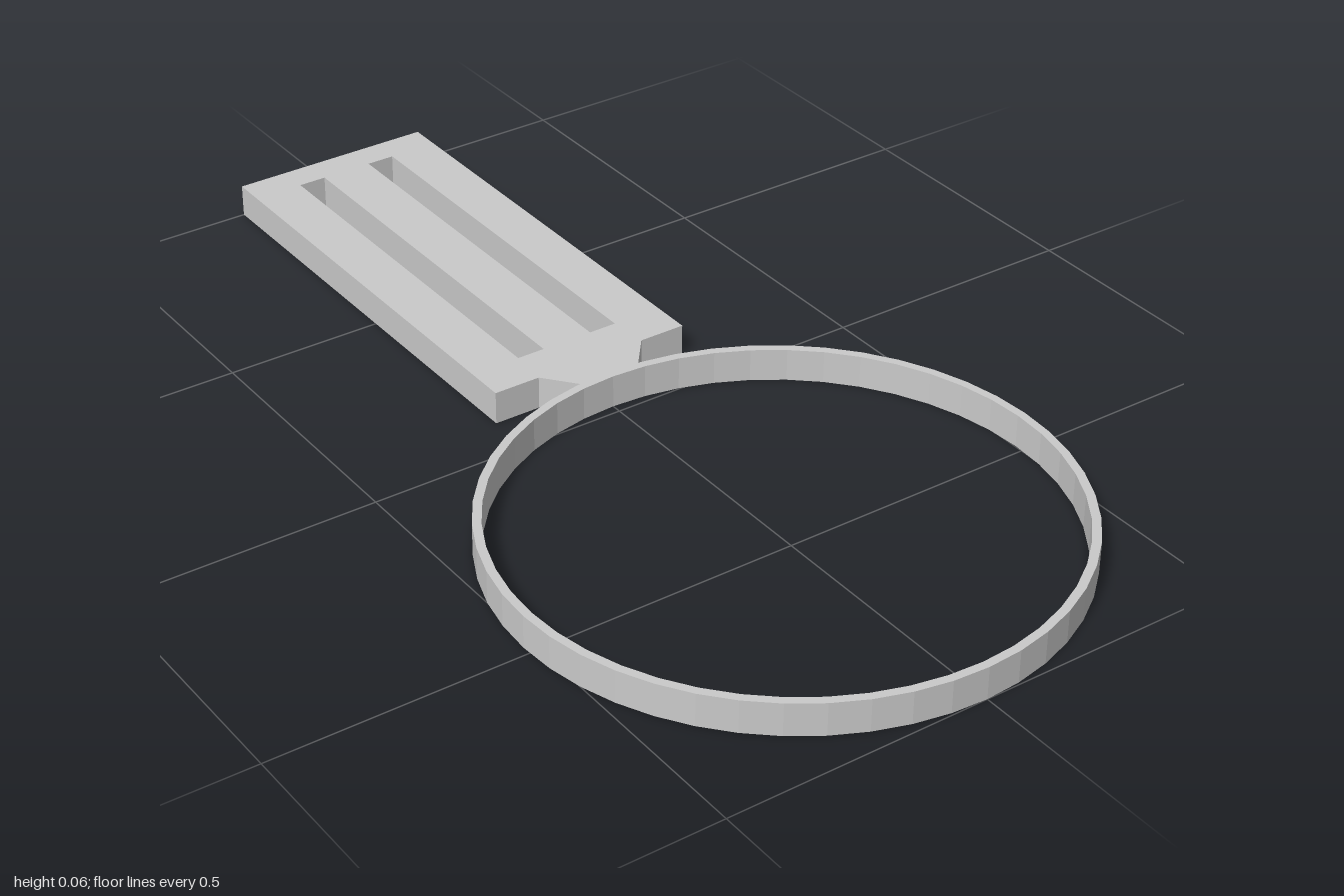
import * as THREE from 'three';

const HEIGHT = 0.0625;
const RING_Z = 0.4825;
const SEGMENTS = 48;

// Outline points are [x, z] in plan
const toPoints = (list) => list.map(([x, z]) => new THREE.Vector2(x, z));

const circle = (radius) => Array.from({ length: SEGMENTS }, (_, i) => {
  const a = (i / SEGMENTS) * Math.PI * 2;
  return [Math.cos(a) * radius, RING_Z + Math.sin(a) * radius];
});

const rectangle = (x0, x1, z0, z1) => [[x0, z0], [x1, z0], [x1, z1], [x0, z1]];

// Extrudes a plan outline with holes up from the ground
function makePlate(name, outline, holes, material) {
  const shape = new THREE.Shape(toPoints(outline));
  for (const hole of holes) shape.holes.push(new THREE.Path(toPoints(hole)));
  const geometry = new THREE.ExtrudeGeometry(shape, { depth: HEIGHT, bevelEnabled: false });
  geometry.rotateX(Math.PI / 2).translate(0, HEIGHT, 0);
  const mesh = new THREE.Mesh(geometry, material);
  mesh.name = name;
  return mesh;
}

export function createModel() {
  const group = new THREE.Group();
  group.name = 'ringWithHandle';
  const grey = new THREE.MeshStandardMaterial({ color: 0xcacaca });
  grey.name = 'grey';

  // Thin faceted ring
  group.add(makePlate('ring', circle(0.5175), [circle(0.5015)], grey));

  // Flat handle with a tapered neck running into the ring wall
  const half = [[0.2, -1], [0.2, -0.09], [0.11, -0.09], [0.057, -0.025]];
  const mirrored = half.map(([x, z]) => [-x, z]).reverse();
  const slots = [-0.077, 0.077].map((x) => rectangle(x - 0.027, x + 0.027, -0.94, -0.165));
  group.add(makePlate('handle', [...half, ...mirrored], slots, grey));

  return group;
}
